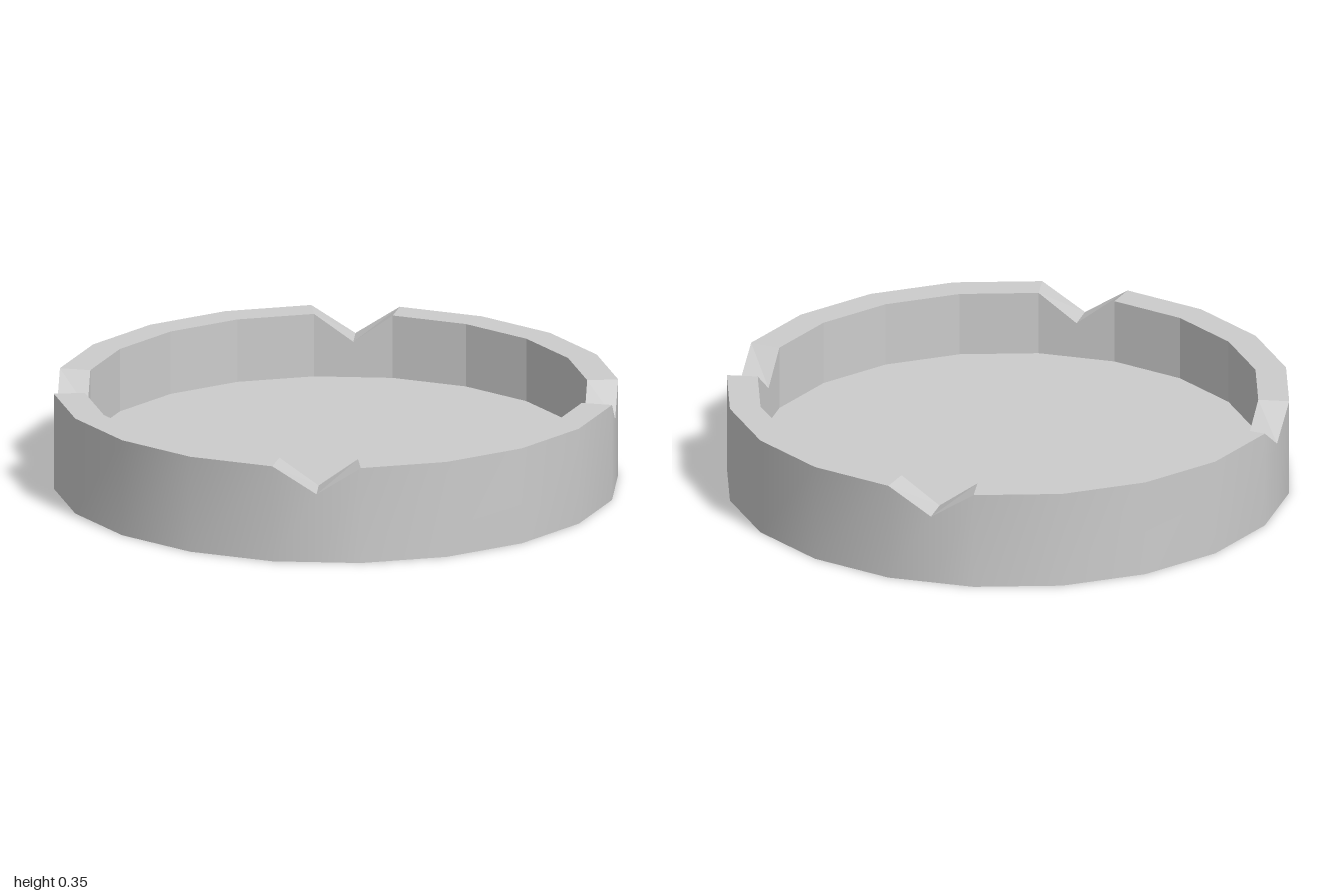
import * as THREE from 'three';

const SIDES = 20, HEIGHT = 0.35, FLOOR = 0.12, INNER = 0.89, NOTCH = 0.25;

// Corner columns around the dish; every fifth side gets an extra low point in its middle.
function makeColumns() {
  const corner = (k) => {
    const a = (k * 2 * Math.PI) / SIDES;
    return new THREE.Vector2(Math.sin(a), Math.cos(a));
  };
  const columns = [];
  for (let k = 0; k < SIDES; k++) {
    columns.push({ p: corner(k), top: HEIGHT });
    if (k % 5 === 1) columns.push({ p: corner(k).lerp(corner(k + 1), 0.5), top: NOTCH });
  }
  return columns;
}

// Closed band of quads between two rings of points.
function band(lower, upper, smooth) {
  const n = lower.length;
  const index = [];
  for (let i = 0; i < n; i++) {
    const j = (i + 1) % n;
    index.push(i, j, n + j, i, n + j, n + i);
  }
  const geometry = new THREE.BufferGeometry().setFromPoints([...lower, ...upper]);
  geometry.setIndex(index);
  const result = smooth ? geometry : geometry.toNonIndexed();
  result.computeVertexNormals();
  return result;
}

export function createModel() {
  const group = new THREE.Group();
  group.name = 'notchedDish';
  const material = new THREE.MeshStandardMaterial({ color: 0xcccccc });
  const add = (name, geometry) => {
    const mesh = new THREE.Mesh(geometry, material);
    mesh.name = name;
    group.add(mesh);
    return mesh;
  };

  const columns = makeColumns();
  const ring = (scale, y) =>
    columns.map((c) => new THREE.Vector3(c.p.x * scale, y ?? c.top, c.p.y * scale));
  const outerTop = ring(1), innerTop = ring(INNER);

  // Walls and the notched rim between them
  add('outerWall', band(ring(1, 0), outerTop, true));
  add('rim', band(outerTop, innerTop, false));
  add('innerWall', band(innerTop, ring(INNER, FLOOR), false));

  // Dish floor and underside
  add('floor', new THREE.CircleGeometry(INNER, SIDES).rotateX(-Math.PI / 2)).position.y = FLOOR;
  add('base', new THREE.CircleGeometry(1, SIDES).rotateX(Math.PI / 2));

  return group;
}
